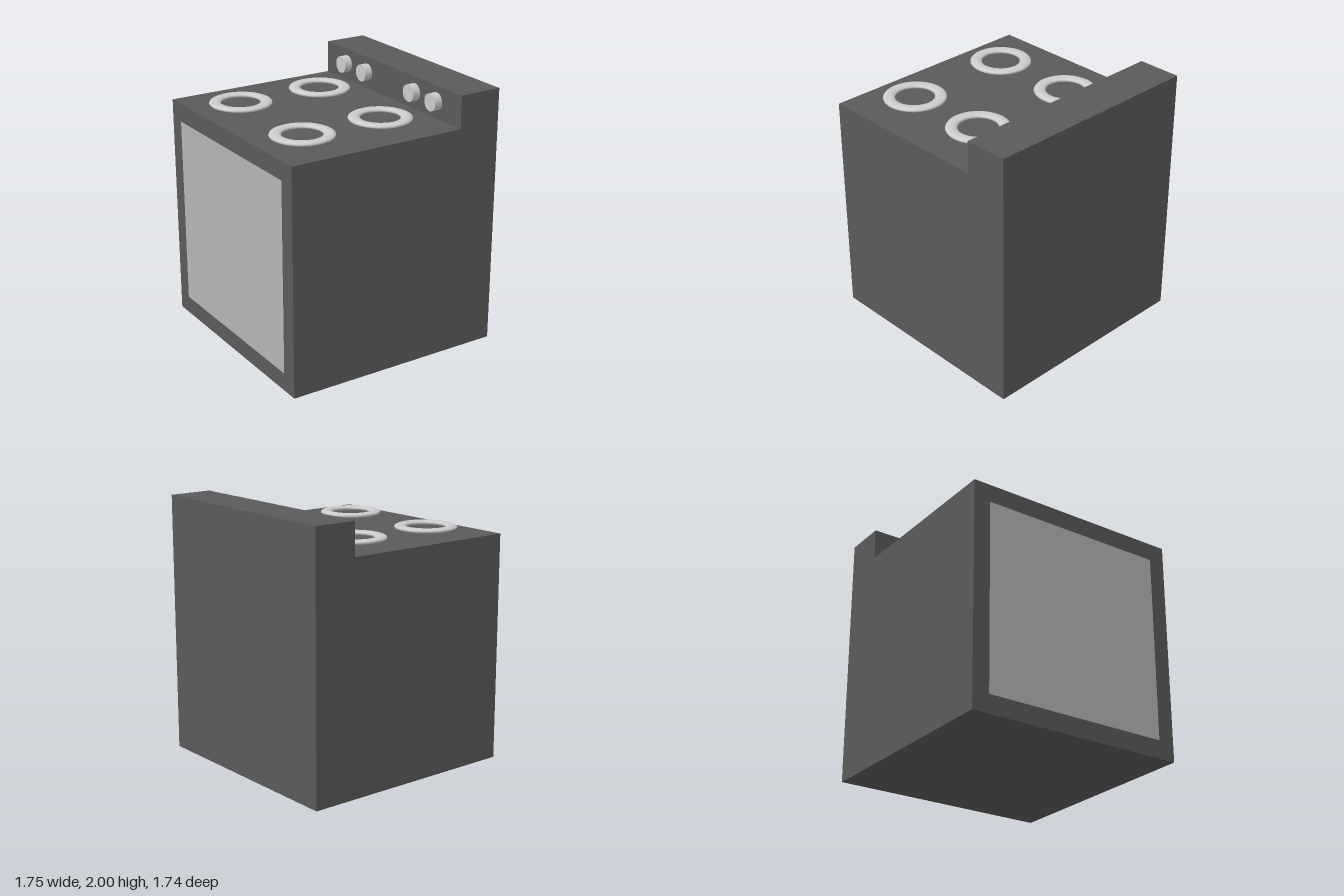
import * as THREE from 'three';

const HALF = 0.872;      // half width and depth of the body
const TOP = 1.75;        // cooktop height
const STEP = 0.533;      // x of the control panel face

export function createModel() {
  const model = new THREE.Group();
  model.name = 'stove';
  const light = new THREE.MeshStandardMaterial({ color: 0xcccccc });
  const dark = new THREE.MeshStandardMaterial({ color: 0x5a5a5a });
  const pane = new THREE.MeshStandardMaterial({ color: 0xb5b5b5 });

  const add = (name, geometry, material, x, y, z) => {
    const mesh = new THREE.Mesh(geometry, material);
    mesh.name = name;
    mesh.position.set(x, y, z);
    model.add(mesh);
    return mesh;
  };

  // Body and raised control panel: one stepped profile extruded along z
  const profile = new THREE.Shape([
    [-HALF, 0], [HALF, 0], [HALF, 2], [STEP, 2], [STEP, TOP], [-HALF, TOP],
  ].map(([x, y]) => new THREE.Vector2(x, y)));
  const bodyGeometry = new THREE.ExtrudeGeometry(profile, { depth: 2 * HALF, bevelEnabled: false });
  add('body', bodyGeometry, dark, 0, 0, -HALF);

  // Oven door panel, practically flush with the -x side
  const door = new THREE.PlaneGeometry(1.48, 1.47).rotateY(-Math.PI / 2);
  add('ovenDoor', door, pane, -HALF - 0.002, 0.875, 0);

  // Flattened burner rings hovering just above the cooktop
  const ring = new THREE.TorusGeometry(0.192, 0.045, 12, 48).rotateX(Math.PI / 2).scale(1, 0.4, 1);
  const burners = [[-0.52, -0.44], [0.175, -0.44], [-0.52, 0.435], [0.15, 0.422]];
  burners.forEach(([x, z], i) => add(`burner${i + 1}`, ring, light, x, 1.783, z));

  // Control knobs on the panel face
  const knob = new THREE.CylinderGeometry(0.066, 0.066, 0.065, 32).rotateZ(Math.PI / 2);
  [-0.59, -0.31, 0.315, 0.583].forEach((z, i) => add(`knob${i + 1}`, knob, light, STEP - 0.03, 1.883, z));

  return model;
}
